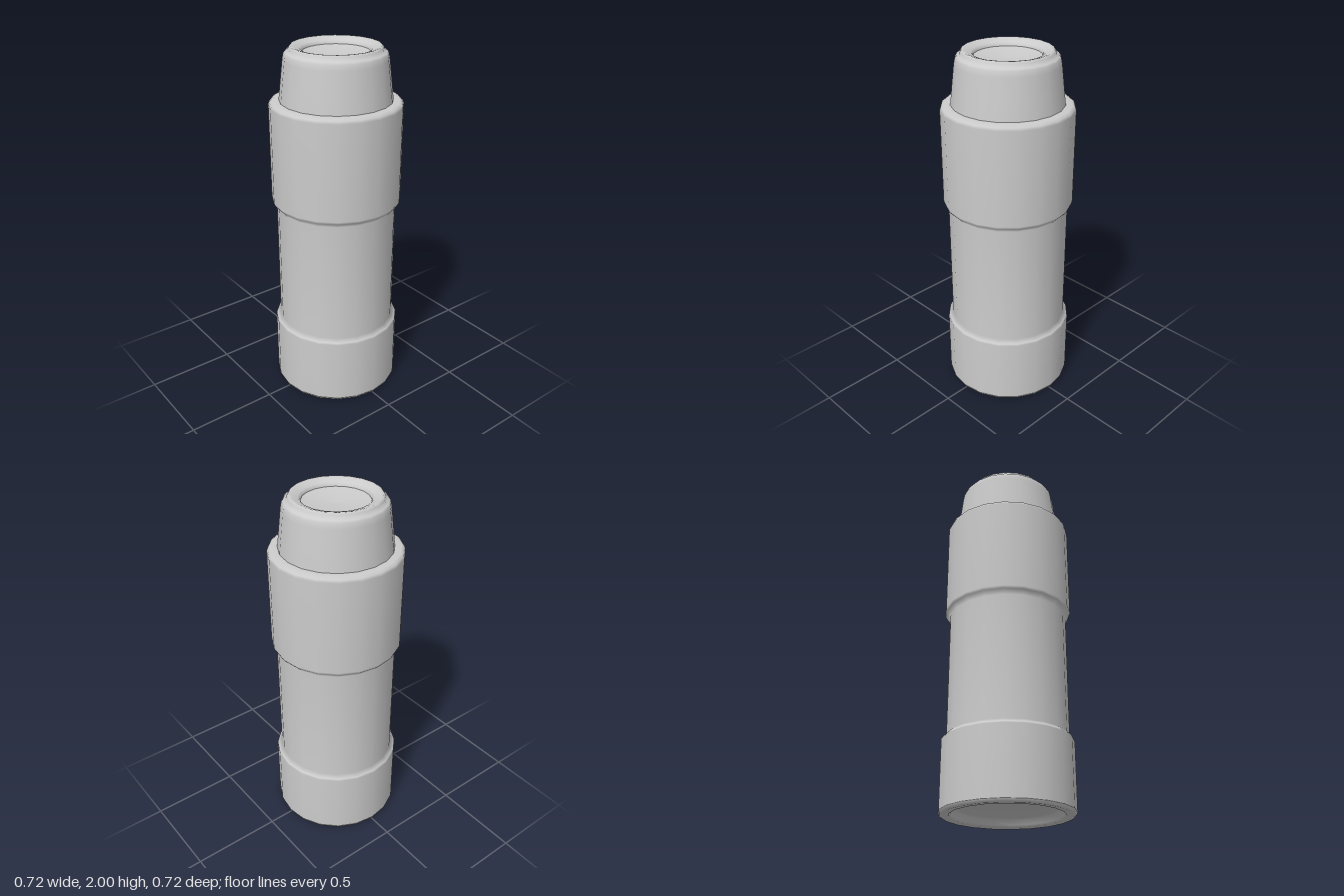
import * as THREE from 'three';

const SIDES = 20;
const material = new THREE.MeshStandardMaterial({ color: 0xcccccc });

// Revolves [radius, height] pairs, listed counter-clockwise around the section
function turned(name, profile) {
  const points = profile.map(([r, y]) => new THREE.Vector2(r, y));
  const mesh = new THREE.Mesh(new THREE.LatheGeometry(points, SIDES), material);
  mesh.name = name;
  return mesh;
}

export function createModel() {
  const model = new THREE.Group();
  model.name = 'monocular';

  // Large front lens, set into the bottom rim
  model.add(turned('objectiveLens', [[0, 0.075], [0.15, 0.065], [0.272, 0.045]]));

  // Bottom rim, from the lens seat out to the bevelled edge
  model.add(turned('objectiveRim', [
    [0.272, 0.045], [0.285, 0.035], [0.295, 0.015], [0.305, 0.003],
    [0.345, 0], [0.355, 0.005], [0.36, 0.018],
  ]));

  // Barrel: lower collar, recessed grip, upper collar and rounded shoulder
  model.add(turned('barrel', [
    [0.36, 0.018], [0.36, 0.39], [0.354, 0.4], [0.333, 0.42],
    [0.333, 1.12], [0.354, 1.145], [0.36, 1.16],
    [0.36, 1.69], [0.355, 1.705], [0.34, 1.715], [0.304, 1.715],
  ]));

  // Tapered eyepiece with a stepped, dished lip
  model.add(turned('eyepiece', [
    [0.304, 1.715], [0.279, 1.93], [0.273, 1.96], [0.265, 1.97],
    [0.25, 1.976], [0.246, 1.99], [0.238, 2], [0.225, 1.998],
    [0.19, 1.985], [0.18, 1.975], [0.178, 1.965],
  ]));

  // Small lens in the eyepiece
  model.add(turned('eyepieceLens', [[0.178, 1.965], [0.1, 1.953], [0, 1.948]]));

  return model;
}
